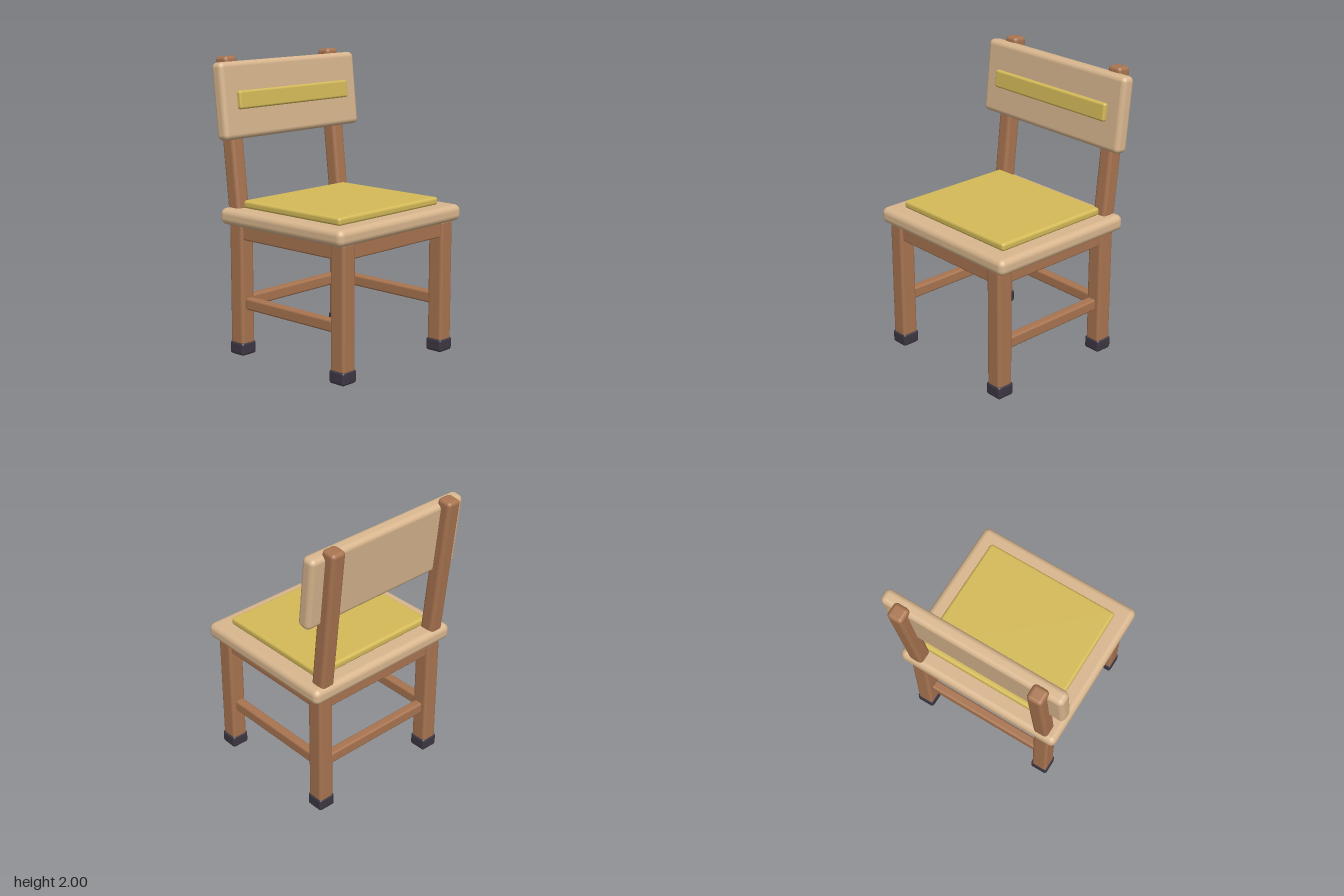
import * as THREE from 'three';
import { RoundedBoxGeometry } from 'three/addons/geometries/RoundedBoxGeometry.js';

const material = (name, color) => {
  const m = new THREE.MeshStandardMaterial({ color });
  m.name = name;
  return m;
};

export function createModel() {
  const brown = material('brown wood', 0xa87450);
  const pale = material('pale wood', 0xd8b68e);
  const yellow = material('yellow cushion', 0xd4ba58);
  const dark = material('dark rubber', 0x3c3642);

  const chair = new THREE.Group();
  chair.name = 'chair';

  // Rounded block given by its size, centre and edge radius
  const block = (parent, name, mat, size, pos, radius) => {
    const mesh = new THREE.Mesh(new RoundedBoxGeometry(...size, 3, radius), mat);
    mesh.name = name;
    mesh.position.set(...pos);
    parent.add(mesh);
    return mesh;
  };

  const legX = 0.483, frontZ = 0.503, backZ = -0.413;
  const midZ = (frontZ + backZ) / 2;

  // Legs with rubber feet
  for (const side of [-1, 1]) {
    for (const [end, z] of [['front', frontZ], ['back', backZ]]) {
      block(chair, end + 'Leg', brown, [0.115, 0.84, 0.12], [side * legX, 0.49, z], 0.022);
      block(chair, end + 'Foot', dark, [0.128, 0.09, 0.128], [side * legX, 0.045, z], 0.018);
    }
    // Side rails and stretchers
    block(chair, 'sideApron', brown, [0.08, 0.11, 0.86], [side * legX, 0.85, midZ], 0.012);
    block(chair, 'sideStretcher', brown, [0.065, 0.08, 0.795], [side * legX, 0.36, midZ], 0.015);
  }

  // Front and back rails, and the single back stretcher
  block(chair, 'frontApron', brown, [0.9, 0.11, 0.08], [0, 0.85, frontZ], 0.012);
  block(chair, 'backApron', brown, [0.9, 0.11, 0.08], [0, 0.85, backZ], 0.012);
  block(chair, 'backStretcher', brown, [0.85, 0.08, 0.065], [0, 0.36, backZ], 0.015);

  // Seat and cushion
  block(chair, 'seat', pale, [1.2, 0.11, 1.1], [0, 0.95, 0.043], 0.042);
  block(chair, 'seatCushion', yellow, [0.976, 0.055, 0.87], [0, 1.0275, 0.043], 0.02);

  // Backrest, leaning backwards
  const back = new THREE.Group();
  back.name = 'backrest';
  back.position.set(0, 1.7, -0.51);
  back.rotation.x = -0.105;
  chair.add(back);
  for (const side of [-1, 1]) {
    block(back, 'backPost', brown, [0.107, 1.06, 0.107], [side * legX, -0.232, 0], 0.026);
  }
  block(back, 'backPanel', pale, [1.276, 0.507, 0.1], [0, 0.007, 0.062], 0.035);
  block(back, 'backPad', yellow, [1.03, 0.12, 0.05], [0, 0.007, 0.115], 0.015);

  return chair;
}
